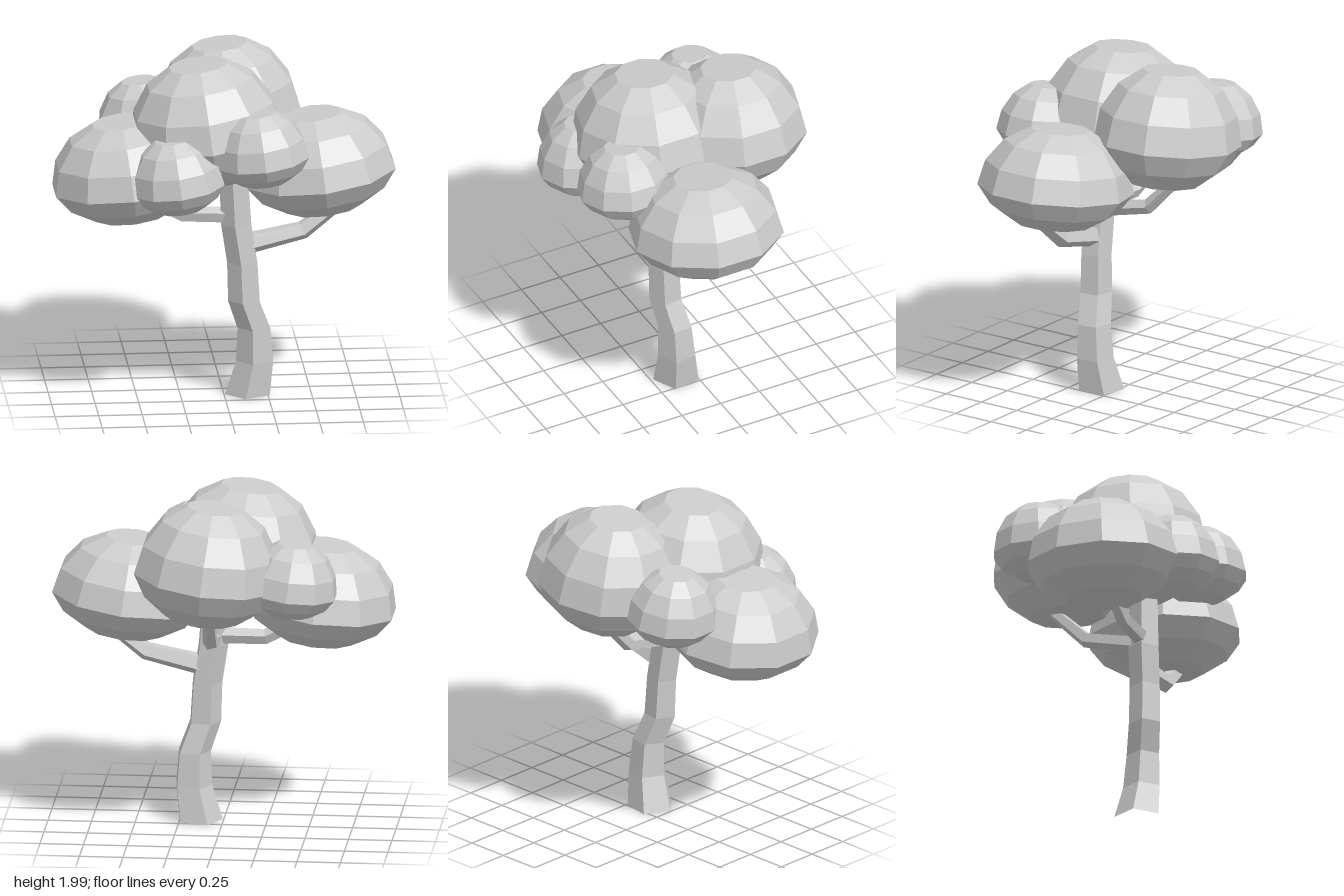
import * as THREE from 'three';

const material = new THREE.MeshStandardMaterial({ color: 0xcccccc, flatShading: true });
const UP = new THREE.Vector3(0, 1, 0);

// Closed, faceted limb through rings given as [x, y, z, radius]
function limb(name, rings, { sides = 5, turn = 0, level = false } = {}) {
  const pts = rings.map(([x, y, z]) => new THREE.Vector3(x, y, z));
  const pos = [], index = [];
  const last = rings.length - 1;
  const addRing = (i, r) => {
    const along = pts[Math.min(i + 1, last)].clone().sub(pts[Math.max(i - 1, 0)]).normalize();
    const q = new THREE.Quaternion().setFromUnitVectors(UP, level ? UP : along);
    for (let k = 0; k < sides; k++) {
      const a = turn + (k / sides) * Math.PI * 2;
      const v = new THREE.Vector3(Math.cos(a) * r, 0, Math.sin(a) * r).applyQuaternion(q).add(pts[i]);
      pos.push(v.x, v.y, v.z);
    }
  };
  // Zero-radius rings close both ends
  addRing(0, 0);
  rings.forEach((ring, i) => addRing(i, ring[3]));
  addRing(last, 0);
  for (let i = 0; i < rings.length + 1; i++) {
    for (let k = 0; k < sides; k++) {
      const a = i * sides + k, b = i * sides + (k + 1) % sides;
      const c = a + sides, d = b + sides;
      if (i > 0) index.push(a, c, b);
      else index.push(a, d, c);
      if (i > 0 && i < rings.length) index.push(b, c, d);
    }
  }
  const geometry = new THREE.BufferGeometry();
  geometry.setAttribute('position', new THREE.Float32BufferAttribute(pos, 3));
  geometry.setIndex(index);
  geometry.computeVertexNormals();
  const mesh = new THREE.Mesh(geometry, material);
  mesh.name = name;
  return mesh;
}

// Ten-sided dome of leaves: rounded above, shallower below, flat at both poles
function foliage(name, [x, y, z], radius, up, down) {
  const profile = [
    [0, -1], [0.5, -1], [0.82, -0.55], [1, 0],
    [0.92, 0.38], [0.7, 0.72], [0.38, 0.93], [0, 0.93],
  ].map(([r, h]) => new THREE.Vector2(r * radius, h * (h < 0 ? down : up)));
  const mesh = new THREE.Mesh(new THREE.LatheGeometry(profile, 10), material);
  mesh.name = name;
  mesh.position.set(x, y, z);
  mesh.rotation.z = 0.12;
  return mesh;
}

export function createModel() {
  const tree = new THREE.Group();
  tree.name = 'tree';

  // Crooked trunk
  tree.add(limb('trunk', [
    [0.14, 0, 0.10, 0.136],
    [0.18, 0.2, 0.115, 0.112],
    [0.175, 0.4, 0.125, 0.1],
    [0.115, 0.57, 0.155, 0.096],
    [0.105, 0.8, 0.16, 0.092],
    [0.07, 1.03, 0.165, 0.092],
    [0.05, 1.4, 0.17, 0.085],
  ], { turn: 1.75, level: true }));

  // Branches reaching under the large domes
  tree.add(limb('leftBranch', [
    [0.1, 0.9, 0.155, 0.065], [0.45, 0.98, 0.155, 0.055], [0.7, 1.17, 0.15, 0.04],
  ]));
  tree.add(limb('rightBranch', [
    [0.06, 1.08, 0.16, 0.05], [-0.24, 1.085, 0.14, 0.046], [-0.48, 1.2, 0.13, 0.036],
  ]));
  tree.add(limb('backBranch', [
    [0.06, 1.06, 0.14, 0.05], [0.05, 1.13, -0.18, 0.046], [0.04, 1.33, -0.38, 0.036],
  ]));

  // Large domes
  tree.add(foliage('topFoliage', [-0.1, 1.56, 0.15], 0.45, 0.45, 0.26));
  tree.add(foliage('backFoliage', [0.06, 1.55, -0.31], 0.43, 0.45, 0.24));
  tree.add(foliage('rightFoliage', [-0.55, 1.29, 0.13], 0.45, 0.38, 0.2));
  tree.add(foliage('leftFoliage', [0.55, 1.31, 0.12], 0.45, 0.38, 0.2));

  // Small domes
  tree.add(foliage('frontRightFoliage', [-0.29, 1.34, 0.465], 0.275, 0.305, 0.13));
  tree.add(foliage('frontLeftFoliage', [0.195, 1.49, 0.46], 0.275, 0.3, 0.13));
  tree.add(foliage('backRightFoliage', [-0.42, 1.48, -0.3], 0.275, 0.305, 0.13));

  return tree;
}
